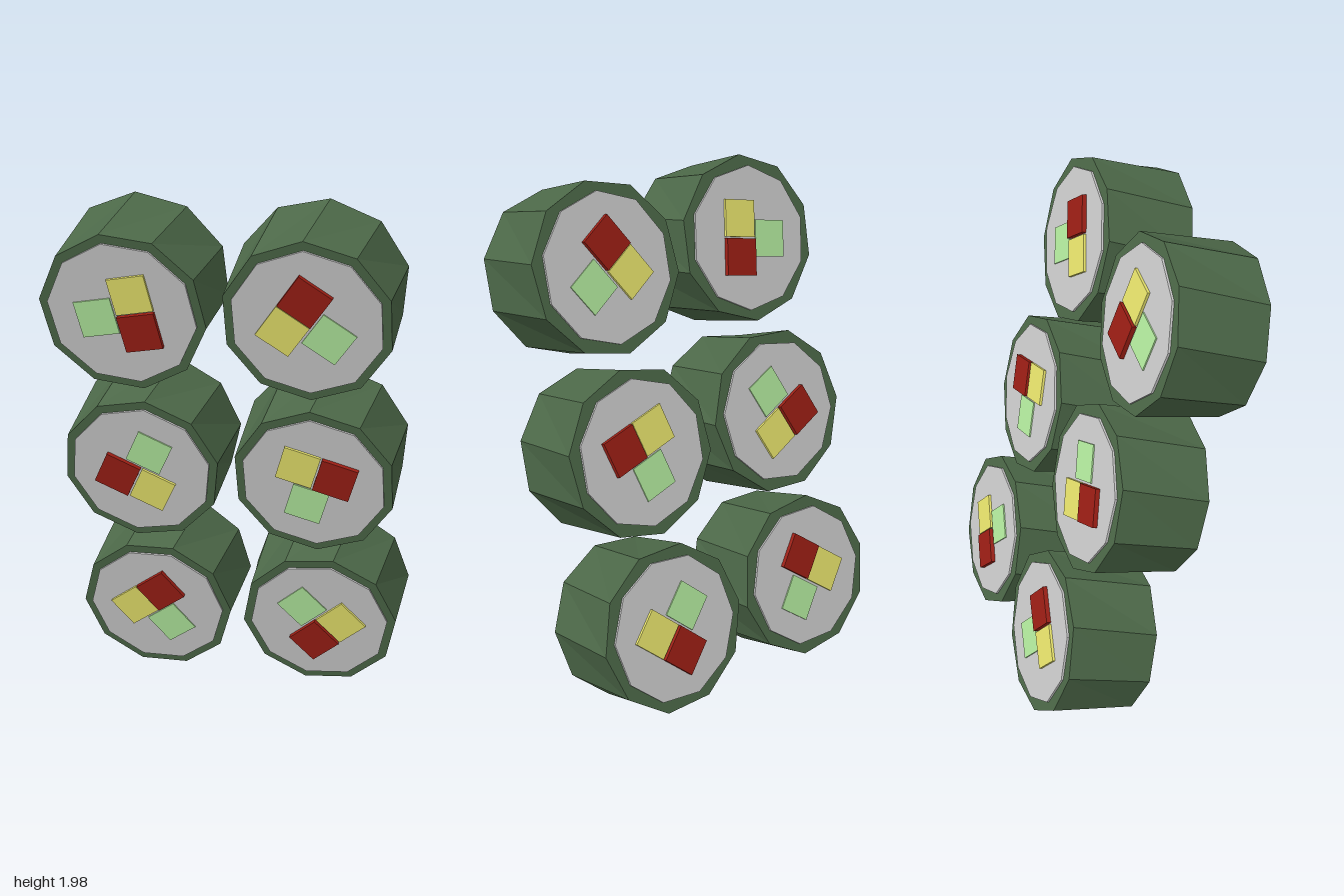
import * as THREE from 'three';

const mat = (color) => new THREE.MeshStandardMaterial({ color, flatShading: true });
const deg = THREE.MathUtils.degToRad;

// Ten-sided drum lying along z; the back rim is twisted a little.
function drum(frontRadius, backRadius, depth, twist) {
  const g = new THREE.CylinderGeometry(frontRadius, backRadius, depth, 10);
  g.rotateX(Math.PI / 2);
  const p = g.attributes.position;
  const v = new THREE.Vector3();
  const axis = new THREE.Vector3(0, 0, 1);
  for (let i = 0; i < p.count; i++) {
    v.fromBufferAttribute(p, i);
    if (v.z < 0) v.applyAxisAngle(axis, twist);
    p.setXYZ(i, v.x, v.y, v.z);
  }
  g.computeVertexNormals();
  return g;
}

export function createModel() {
  const model = new THREE.Group();
  model.name = 'sushiRolls';

  const wrapMat = mat(0x4c6848);
  const riceMat = mat(0xcccccc);
  const wrapGeo = drum(0.308, 0.317, 0.344, deg(-7));
  const riceGeo = drum(0.275, 0.275, 0.36, 0);

  // Square sticks running through the roll: name, x, y, length, material
  const fillings = [
    ['redFilling', 0.054, -0.073, 0.394, mat(0x9b1e14)],
    ['yellowFilling', 0.054, 0.073, 0.38, mat(0xe8e46c)],
    ['greenFilling', -0.095, 0, 0.37, mat(0xb3eb9e)],
  ];

  function add(parent, name, geometry, material) {
    const mesh = new THREE.Mesh(geometry, material);
    mesh.name = name;
    parent.add(mesh);
    return mesh;
  }

  // Three leaning rows: y, z, then the spin of the left and right roll
  const rows = [
    [1.65, 0.19, 10, 145],
    [1.0, 0.0, 244, 73],
    [0.355, -0.185, 127, 312],
  ];
  for (const [y, z, ...spins] of rows) {
    spins.forEach((spin, i) => {
      const roll = new THREE.Group();
      roll.name = 'roll';
      add(roll, 'seaweedWrap', wrapGeo, wrapMat);
      add(roll, 'rice', riceGeo, riceMat);
      for (const [name, fx, fy, length, material] of fillings) {
        add(roll, name, new THREE.BoxGeometry(0.14, 0.14, length), material).position.set(fx, fy, 0);
      }
      roll.position.set(i ? 0.333 : -0.333, y, z);
      roll.rotation.set(deg(15), 0, deg(spin));
      model.add(roll);
    });
  }
  return model;
}
